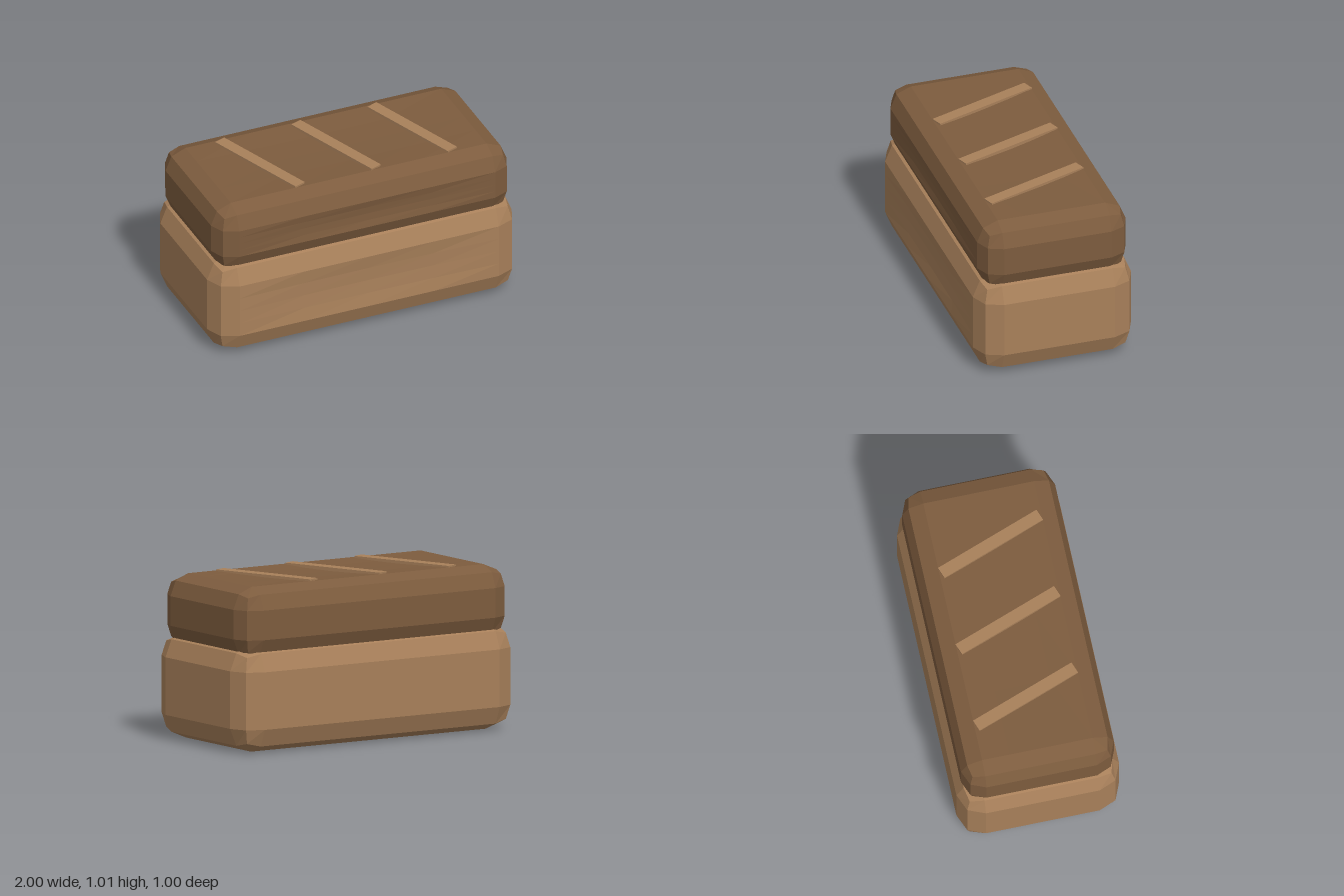
import * as THREE from 'three';

const crumb = new THREE.MeshStandardMaterial({ color: 0xa8805a, flatShading: true });
crumb.name = 'light brown';
const crust = new THREE.MeshStandardMaterial({ color: 0x7d5c3e, flatShading: true });
crust.name = 'dark brown';

// Faceted rounded block; the front (and optionally the top) is slightly sunken.
function block(name, w, h, d, r, material, frontDent, topDent) {
  const half = [w / 2, h / 2, d / 2];
  const geometry = new THREE.BoxGeometry(2, 2, 2, 6, 6, 6);
  const pos = geometry.attributes.position;
  const p = new THREE.Vector3(), inner = new THREE.Vector3();
  for (let i = 0; i < pos.count; i++) {
    p.fromBufferAttribute(pos, i);
    const u = [0, 1, 2].map((k) => p.getComponent(k) * 1.5); // -1..1 over the flat part
    for (let k = 0; k < 3; k++) {
      inner.setComponent(k, THREE.MathUtils.clamp(u[k], -1, 1) * (half[k] - r));
      p.setComponent(k, Math.abs(u[k]) > 1.4 ? Math.sign(u[k]) : 0);
    }
    p.normalize().multiplyScalar(r).add(inner);
    const bowl = (a, b) => Math.max(0, 1 - a * a) * Math.max(0, 1 - b * b);
    if (u[2] > 1.4) p.z -= frontDent * bowl(u[0], u[1]);
    if (u[1] > 1.4) p.y -= topDent * bowl(u[0], u[2]);
    pos.setXYZ(i, p.x, p.y, p.z);
  }
  const flat = geometry.toNonIndexed();
  flat.computeVertexNormals();
  const mesh = new THREE.Mesh(flat, material);
  mesh.name = name;
  return mesh;
}

export function createModel() {
  const group = new THREE.Group();
  group.name = 'loaf';

  // Wide lower body
  const base = block('lowerLoaf', 2, 0.65, 1, 0.15, crumb, 0.015, 0);
  base.position.y = 0.325;
  group.add(base);

  // Darker upper crust
  const top = block('upperCrust', 1.94, 0.44, 0.94, 0.13, crust, 0.012, 0.012);
  top.position.y = 0.78;
  group.add(top);

  // Slanted score marks
  for (const x of [-0.5, 0, 0.5]) {
    const mark = new THREE.Mesh(new THREE.BoxGeometry(0.075, 0.025, 0.7), crumb);
    mark.name = 'scoreMark';
    mark.position.set(x, 0.9975, 0);
    mark.rotation.y = 0.35;
    group.add(mark);
  }
  return group;
}
